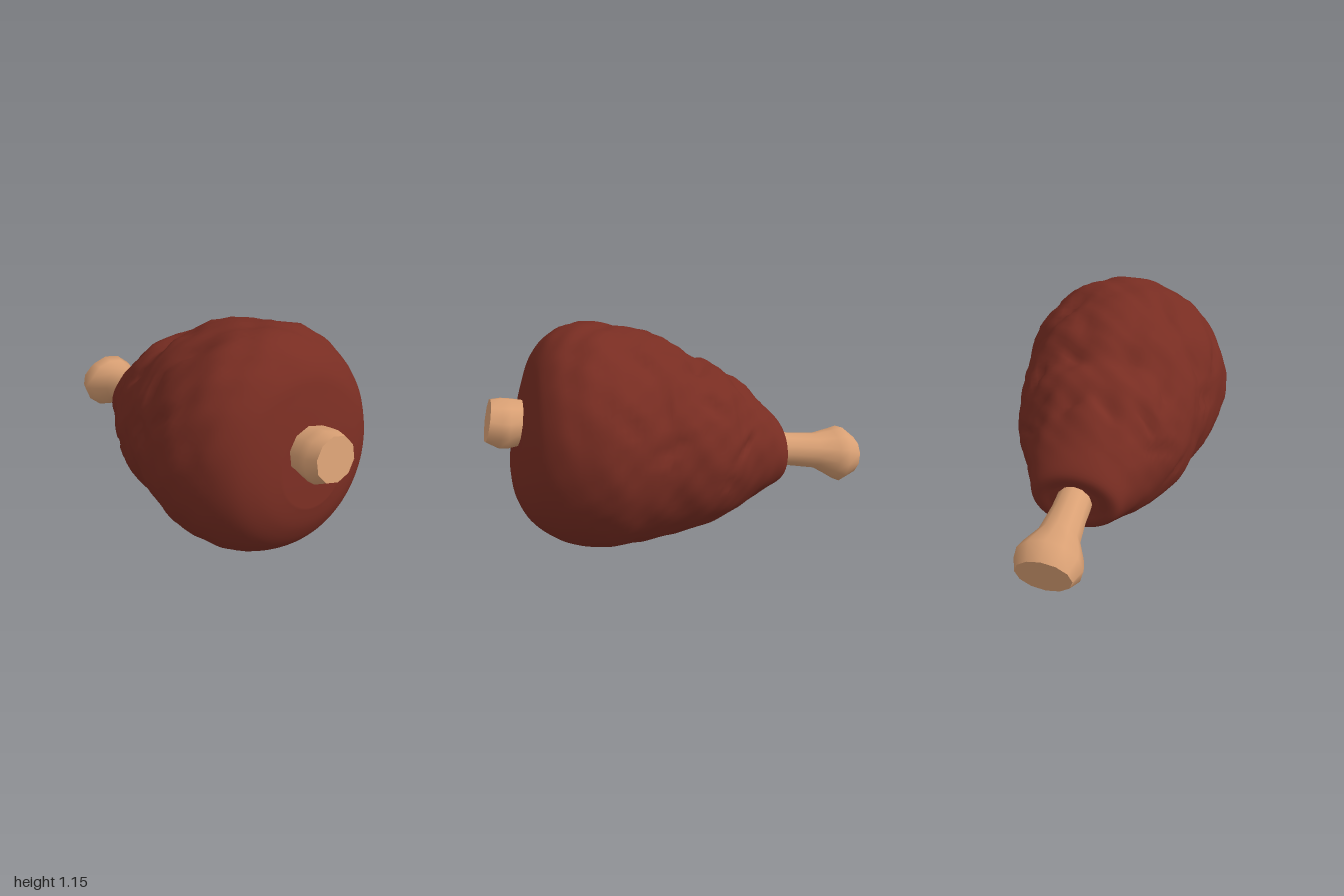
import * as THREE from 'three';

const boneMat = new THREE.MeshStandardMaterial({ color: 0xd9a074 });
boneMat.name = 'bone tan';
const meatMat = new THREE.MeshStandardMaterial({ color: 0x782d22 });
meatMat.name = 'roast brown';

// Each section: [bottom x, bottom y, top x, top y, half width], listed towards +x
function loft(sections, sides, rule) {
  const pos = [], index = [];
  sections.forEach(([bx, by, tx, ty, w]) => {
    for (let j = 0; j < sides; j++) {
      const a = (j / sides) * Math.PI * 2, k = (1 + Math.cos(a)) / 2;
      const p = new THREE.Vector3(bx + (tx - bx) * k, by + (ty - by) * k, w * Math.sin(a));
      if (rule) rule(p, a);
      pos.push(p.x, p.y, p.z);
    }
  });
  for (let i = 0; i < sections.length - 1; i++) {
    for (let j = 0; j < sides; j++) {
      const n = (j + 1) % sides;
      const a = i * sides + j, b = i * sides + n, c = a + sides, d = b + sides;
      index.push(a, b, c, b, d, c);
    }
  }
  const g = new THREE.BufferGeometry();
  g.setAttribute('position', new THREE.Float32BufferAttribute(pos, 3));
  g.setIndex(index);
  g.computeVertexNormals();
  return g;
}

// Smoothly resample sections with Catmull-Rom interpolation
function resample(sections, steps) {
  const out = [], last = sections.length - 1;
  for (let i = 0; i < last; i++) {
    const [p, q, r, s] = [i - 1, i, i + 1, i + 2].map(k => sections[Math.min(last, Math.max(0, k))]);
    for (let t = 0; t < steps; t++) {
      const f = t / steps;
      out.push(q.map((v, k) => v + 0.5 * f * (r[k] - p[k] +
        f * (2 * p[k] - 5 * v + 4 * r[k] - s[k] + f * (3 * (v - r[k]) + s[k] - p[k])))));
    }
  }
  out.push(sections[last]);
  return out;
}

// Section shrunk to its own centre, used to close an end
const closed = ([bx, by, tx, ty]) => {
  const x = (bx + tx) / 2, y = (by + ty) / 2;
  return [x, y, x, y, 0];
};

// Short creases in the meat: x, y, |z|, slope, length
const creases = [
  [0.17, 0.67, 0.5, -0.2, 0.1], [0.2, 0.64, 0.5, 1.1, 0.07], [-0.22, 0.72, 0.3, 1.4, 0.09],
  [-0.24, 0.58, 0.36, -0.5, 0.08], [-0.05, 0.8, 0.36, 0.6, 0.08], [0.2, 0.87, 0.42, 1.5, 0.08],
  [0.3, 1.05, 0.25, 0.6, 0.09], [0.37, 0.8, 0.48, 0.7, 0.06], [-0.02, 0.93, 0.1, 0.3, 0.08],
  [-0.27, 0.81, 0.1, 0.9, 0.07], [0.12, 1.05, 0.14, 0.4, 0.07], [-0.12, 0.42, 0.42, 0.7, 0.06],
];

function roughen(p, a) {
  const z = Math.abs(p.z);
  // roughest on the upper side, smooth near both ends
  const ends = THREE.MathUtils.smoothstep(p.x, -0.52, -0.35) * (1 - THREE.MathUtils.smoothstep(p.x, 0.55, 0.78));
  const amount = ends * (0.45 + 0.55 * THREE.MathUtils.smoothstep(p.y, 0.2, 0.7));
  let d = 0.007 * Math.sin(17 * p.x + 9 * p.y) * Math.cos(13 * z)
    + 0.006 * Math.sin(31 * p.x - 19 * p.y + 1) * Math.cos(27 * z)
    + 0.004 * Math.sin(43 * p.x + 37 * p.y + 2) * Math.cos(39 * z);
  for (const [x, y, cz, slope, len] of creases) {
    const dx = p.x - x, dy = p.y - y, dz = z - cz;
    const u = dx * Math.cos(slope) + dy * Math.sin(slope);
    const v = dy * Math.cos(slope) - dx * Math.sin(slope);
    d -= 0.03 * Math.exp(-((u / len) ** 2) - (v / 0.016) ** 2 - (dz / 0.13) ** 2);
  }
  p.y += Math.cos(a) * d * amount;
  p.z += Math.sin(a) * d * amount;
}

function add(group, name, geometry, material) {
  const m = new THREE.Mesh(geometry, material);
  m.name = name;
  group.add(m);
}

export function createModel() {
  const group = new THREE.Group();
  group.name = 'roastLeg';

  // Meat: a fat pear lying along x
  const meat = [
    [-0.51, 0.31, -0.525, 0.48, 0.12],
    [-0.495, 0.235, -0.53, 0.555, 0.21],
    [-0.4, 0.18, -0.43, 0.67, 0.265],
    [-0.27, 0.12, -0.3, 0.8, 0.33],
    [-0.15, 0.075, -0.18, 0.895, 0.405],
    [0, 0.04, -0.04, 0.95, 0.465],
    [0.16, 0.018, 0.1, 1.065, 0.49],
    [0.3, 0.015, 0.28, 1.115, 0.53],
    [0.45, 0.01, 0.48, 1.152, 0.555],
    [0.65, 0.06, 0.635, 1.11, 0.51],
    [0.8, 0.17, 0.725, 1.02, 0.42],
    [0.87, 0.3, 0.765, 0.92, 0.31],
    [0.885, 0.42, 0.805, 0.79, 0.18],
  ];
  const rings = resample(meat, 6);
  add(group, 'meat', loft([closed(meat[0]), ...rings, closed(meat[meat.length - 1])], 80, roughen), meatMat);

  // Long bone with a knobbly end
  const knob = [
    [-0.945, 0.2, -0.998, 0.4, 0.135],
    [-0.88, 0.165, -0.925, 0.465, 0.165],
    [-0.83, 0.2, -0.87, 0.455, 0.15],
    [-0.745, 0.255, -0.77, 0.445, 0.105],
    [-0.6, 0.285, -0.62, 0.465, 0.09],
    [-0.42, 0.315, -0.45, 0.5, 0.088],
  ];
  add(group, 'longBone', loft(knob, 12), boneMat);
  add(group, 'longBoneEnd', loft([closed(knob[0]), knob[0]], 12), boneMat);

  // Short bone stub on the fat end
  const stub = [
    [0.77, 0.59, 0.72, 0.78, 0.125],
    [0.9, 0.568, 0.86, 0.815, 0.135],
    [0.94, 0.572, 0.9, 0.822, 0.135],
    [1.0, 0.61, 0.952, 0.82, 0.115],
  ];
  add(group, 'boneStub', loft(stub, 10), boneMat);
  add(group, 'boneStubEnd', loft([stub[3], closed(stub[3])], 10), boneMat);

  return group;
}
